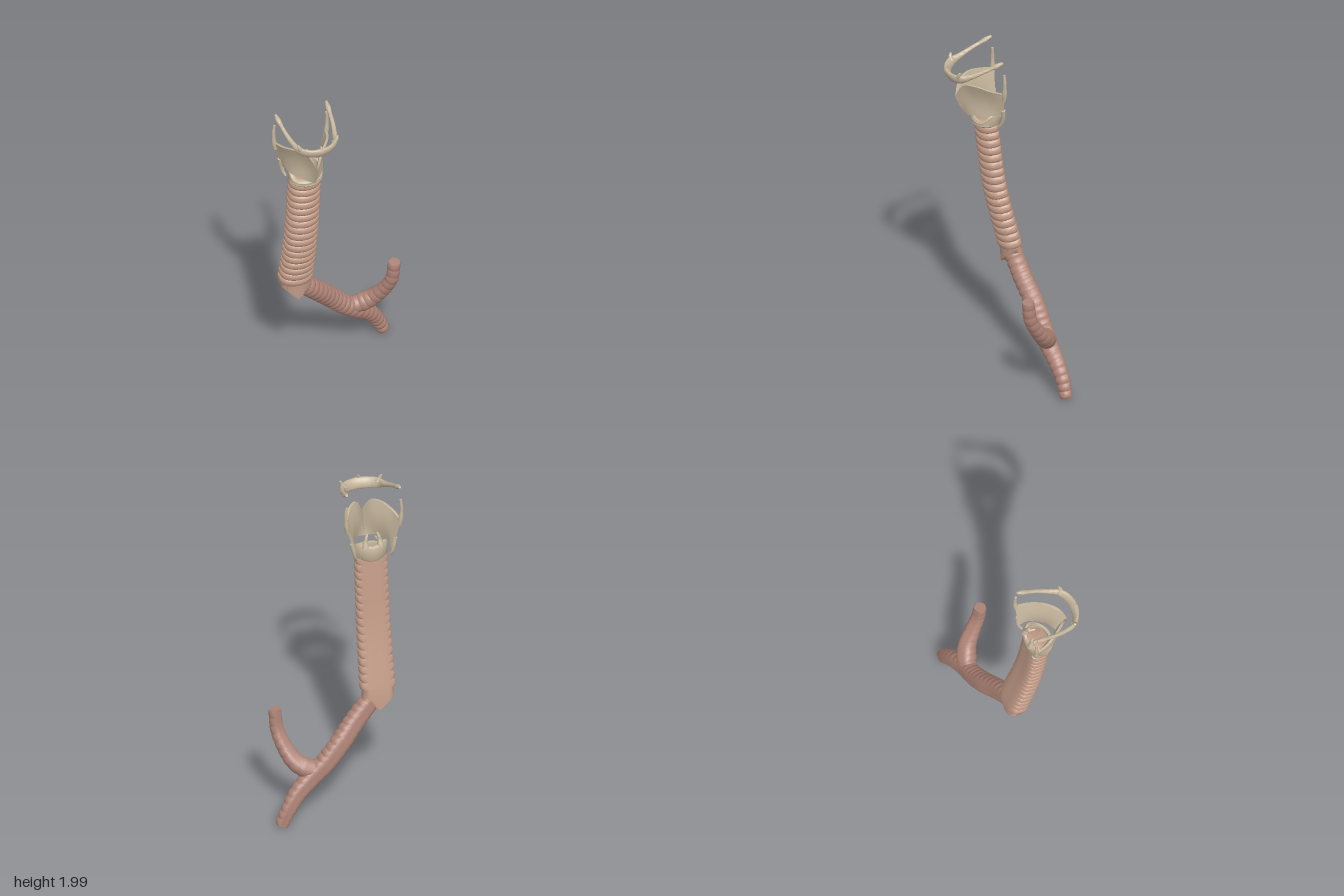
import * as THREE from 'three';
import { toCreasedNormals } from 'three/addons/utils/BufferGeometryUtils.js';

const CX = -0.246; // mid-plane of the upper airway
const V = (x, y, z) => new THREE.Vector3(x, y, z);
const material = color => new THREE.MeshStandardMaterial({ color });
const boneMat = material(0xc4b49b);
const tracheaMat = material(0xc39c88);
const bronchusMat = material(0xae8376);

// Skins a list of vertex loops; the ends are capped, or joined when closed
function loft(rings, closed = false) {
  const n = rings[0].length, m = rings.length;
  const pos = [], idx = [];
  rings.forEach(r => r.forEach(p => pos.push(p.x, p.y, p.z)));
  for (let i = 0; i < (closed ? m : m - 1); i++) {
    for (let j = 0; j < n; j++) {
      const a = i * n + j, b = i * n + (j + 1) % n;
      const k = ((i + 1) % m) * n, c = k + (j + 1) % n, d = k + j;
      idx.push(a, b, c, a, c, d);
    }
  }
  if (!closed) {
    for (const end of [0, m - 1]) {
      const c = rings[end].reduce((s, p) => s.add(p), V(0, 0, 0)).divideScalar(n);
      const ci = pos.length / 3;
      pos.push(c.x, c.y, c.z);
      for (let j = 0; j < n; j++) {
        const a = end * n + j, b = end * n + (j + 1) % n;
        if (end) idx.push(ci, a, b); else idx.push(ci, b, a);
      }
    }
  }
  const geo = new THREE.BufferGeometry();
  geo.setAttribute('position', new THREE.Float32BufferAttribute(pos, 3));
  geo.setIndex(idx);
  return toCreasedNormals(geo, 0.8);
}

// Loops along a path; shape(t, a) gives [sideways, along ref] offsets
function sweep(points, ref, shape, segs, sides) {
  const curve = new THREE.CatmullRomCurve3(points);
  const rings = [];
  for (let i = 0; i <= segs; i++) {
    const t = i / segs, c = curve.getPointAt(t), tan = curve.getTangentAt(t);
    const b = ref.clone().addScaledVector(tan, -ref.dot(tan)).normalize();
    const s = b.clone().cross(tan);
    rings.push(Array.from({ length: sides }, (_, j) => {
      const [p, q] = shape(t, j / sides * Math.PI * 2);
      return c.clone().addScaledVector(s, p).addScaledVector(b, q);
    }));
  }
  return rings;
}

// Airway section: ringed around the front, smooth and flattened at the back
function airway(width, front, back, count, amp, flat) {
  return (t, a) => {
    const s = Math.sin(a), c = Math.cos(a);
    const mask = THREE.MathUtils.clamp((0.75 - s) * 2.5, 0, 1);
    const bulge = amp * mask * (Math.sqrt(Math.abs(Math.sin(Math.PI * count * t))) - 0.6);
    const groove = s > 0 ? 0.006 * s ** 8 : 0;
    const q = s > 0 ? back(t) * s ** flat - groove : front(t) * s;
    return [width(t) * c + bulge * c, q + bulge * s];
  };
}

const taper = (...r) => t => {
  const k = Math.min(t * (r.length - 1), r.length - 1.0001), i = Math.floor(k);
  return THREE.MathUtils.lerp(r[i], r[i + 1], k - i);
};
const round = r => (t, a) => [r(t) * Math.cos(a), r(t) * Math.sin(a)];

export function createModel() {
  const model = new THREE.Group();
  const add = (name, geo, mat) => {
    const mesh = new THREE.Mesh(geo, mat);
    mesh.name = name;
    model.add(mesh);
  };
  // Thin horn on both sides, points given as [offset from mid-plane, y, z]
  const horns = (name, pts, radii, ref = V(0, 0, 1)) => {
    for (const side of [1, -1]) {
      const path = pts.map(([x, y, z]) => V(CX + side * x, y, z));
      const label = (side > 0 ? 'left' : 'right') + name;
      add(label, loft(sweep(path, ref, round(taper(...radii)), 14, 12)), boneMat);
    }
  };
  const back = V(0, 0, -1);

  // Trachea with a wedge-shaped lower end
  const tr = sweep([V(CX, 1.54, 0.058), V(CX, 1.1, 0.006), V(CX, 0.72, -0.078)], back,
    airway(taper(0.091, 0.093, 0.099), taper(0.07, 0.068), taper(0.062, 0.067), 17, 0.012, 0.45), 170, 48);
  const wedge = x => 0.6 + Math.abs(x - CX);
  const last = tr[tr.length - 1];
  tr.push(last.map(p => V(p.x, Math.min(wedge(p.x), p.y - 0.003), p.z - 0.006)));
  tr.push(last.map(p => V(p.x, Math.min(wedge(p.x), p.y - 0.003), -0.085)));
  add('trachea', loft(tr), tracheaMat);

  // Main bronchus running into the lower branch
  const mainR = taper(0.054, 0.056, 0.057, 0.056, 0.053, 0.044, 0.035);
  add('mainBronchus', loft(sweep([
    V(-0.215, 0.665, -0.09), V(-0.1, 0.552, -0.127), V(0, 0.445, -0.168), V(0.1, 0.342, -0.195),
    V(0.19, 0.27, -0.212), V(0.275, 0.198, -0.24), V(0.335, 0.115, -0.262), V(0.38, 0.022, -0.272),
  ], back, airway(mainR, mainR, mainR, 21, 0.008, 0.7), 170, 32)), bronchusMat);

  // Upper branch
  const upR = taper(0.05, 0.057, 0.05, 0.044, 0.04, 0.037, 0.035);
  add('upperBronchus', loft(sweep([
    V(0.15, 0.31, -0.203), V(0.215, 0.33, -0.19), V(0.27, 0.37, -0.165), V(0.317, 0.45, -0.115),
    V(0.345, 0.545, -0.07), V(0.353, 0.667, -0.053),
  ], V(-0.5, 0.5, -1).normalize(), airway(upR, upR, upR, 10, 0.004, 0.9), 80, 28)), bronchusMat);

  // Cricoid ring: low arch in front, tall plate behind
  const cricoid = [];
  for (let i = 0; i < 56; i++) {
    const f = i / 56 * Math.PI * 2, s = Math.sin(f), c = Math.cos(f);
    const rise = THREE.MathUtils.smoothstep(-c, -0.75, 0.5);
    const top = 1.568 + 0.062 * rise - 0.012 * Math.max(0, -c) ** 12;
    const low = 1.522 + 0.012 * Math.abs(s);
    const at = (k, y) => V(CX + s * (0.101 - k), y, 0.062 + c * (0.083 - k));
    const w = 0.022;
    cricoid.push([at(0.008, top), at(0, top - 0.012), at(0.003, (top + low) / 2), at(0, low + 0.01),
      at(0.008, low), at(w, low), at(w + 0.004, (top + low) / 2), at(w, top)]);
  }
  add('cricoidCartilage', loft(cricoid, true), boneMat);

  // Thyroid cartilage: two plates meeting at a notched front ridge
  const edge = pts => new THREE.CatmullRomCurve3(pts.map(p => V(...p)));
  const topEdge = edge([[0, 1.705, 0.24], [0.022, 1.76, 0.228], [0.05, 1.805, 0.202],
    [0.1, 1.815, 0.143], [0.143, 1.797, 0.065], [0.163, 1.78, -0.015]]);
  const lowEdge = edge([[0, 1.585, 0.187], [0.035, 1.597, 0.168], [0.066, 1.61, 0.14],
    [0.098, 1.612, 0.09], [0.114, 1.622, 0.035], [0.116, 1.6, -0.012]]);
  const plates = [], N = 24, M = 8;
  for (let i = -N; i <= N; i++) {
    const u = Math.abs(i) / N, side = Math.sign(i);
    const hi = topEdge.getPoint(u), lo = lowEdge.getPoint(u);
    const across = topEdge.getTangent(Math.max(u, 0.1));
    const inward = V(across.z, 0, -across.x).normalize();
    if (i === 0) inward.set(0, 0, -1.2);
    const row = (v, depth) => {
      const p = hi.clone().lerp(lo, v);
      p.addScaledVector(inward, depth + 0.014 * Math.sin(v * Math.PI) * Math.sin(u * Math.PI));
      return V(CX + side * Math.max(p.x, 0), p.y, p.z);
    };
    const outer = [], inner = [];
    for (let k = 0; k <= M; k++) {
      outer.push(row(k / M, 0));
      inner.unshift(row(k / M, 0.014));
    }
    plates.push([...outer, ...inner]);
  }
  add('thyroidCartilage', loft(plates), boneMat);
  horns('SuperiorHorn', [[0.155, 1.74, -0.01], [0.163, 1.8, -0.012], [0.165, 1.86, -0.012], [0.16, 1.908, -0.01]],
    [0.012, 0.015, 0.011, 0.01, 0.007]);
  horns('InferiorHorn', [[0.128, 1.66, -0.01], [0.116, 1.6, -0.013], [0.108, 1.565, -0.008], [0.098, 1.54, 0.004]],
    [0.013, 0.013, 0.011, 0.008]);

  // Arytenoids: upright pyramids with a forward spur
  horns('Arytenoid', [[0.045, 1.61, 0], [0.042, 1.645, 0.008], [0.036, 1.675, 0.012], [0.028, 1.695, 0.018]],
    [0.021, 0.018, 0.012, 0.01, 0.006]);
  horns('ArytenoidSpur', [[0.044, 1.635, 0.008], [0.037, 1.64, 0.035], [0.03, 1.643, 0.06]],
    [0.013, 0.009, 0.005], V(0, 1, 0));

  // Hyoid: broad body sweeping back into slender horns
  const half = [[0.157, 1.988, -0.004], [0.152, 1.962, 0.05], [0.143, 1.93, 0.12], [0.127, 1.9, 0.185],
    [0.108, 1.882, 0.235], [0.065, 1.873, 0.268]];
  const hyoidPath = [...half.map(([x, y, z]) => V(CX - x, y, z)), V(CX, 1.872, 0.282),
    ...half.map(([x, y, z]) => V(CX + x, y, z)).reverse()];
  const tall = taper(0.036, 0.034, 0.033, 0.03, 0.021, 0.016, 0.013, 0.012, 0.011, 0.015, 0.008);
  const thick = taper(0.018, 0.016, 0.015, 0.014, 0.015, 0.014, 0.013, 0.012, 0.011, 0.016, 0.008);
  add('hyoidBone', loft(sweep(hyoidPath, V(0, 0.9, 0.43), (t, a) => {
    const d = Math.abs(t * 2 - 1);
    return [thick(d) * Math.cos(a), tall(d) * Math.sin(a)];
  }, 90, 18)), boneMat);
  horns('LesserHorn', [[0.1, 1.885, 0.24], [0.113, 1.908, 0.245], [0.122, 1.93, 0.24]], [0.016, 0.012, 0.006]);

  // Small ridge at the middle of the hyoid
  const ridge = [V(CX, 1.85, 0.287), V(CX, 1.885, 0.296), V(CX, 1.92, 0.287)];
  add('hyoidRidge', loft(sweep(ridge, V(0, 0, 1), round(taper(0.006, 0.011, 0.005)), 10, 10)), boneMat);

  return model;
}
